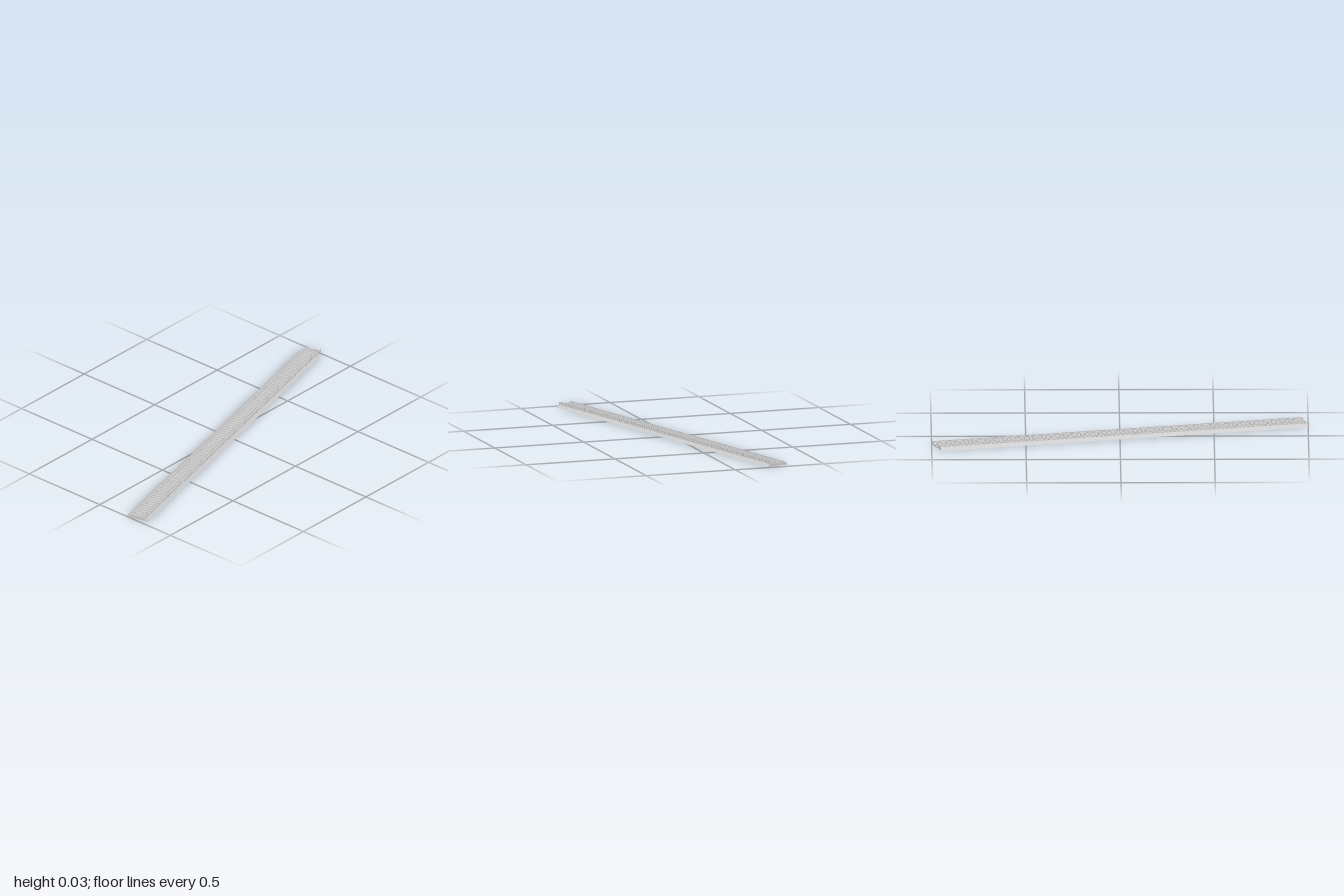
import * as THREE from 'three';

const material = new THREE.MeshStandardMaterial({ color: 0xcccccc, flatShading: true });

// Symmetric cross-section (half-width, height pairs from bottom to top) run along x.
function prism(name, half, x0, x1, z) {
  const right = half.map(([w, y]) => new THREE.Vector2(w, y));
  const left = half.map(([w, y]) => new THREE.Vector2(-w, y)).reverse();
  const geometry = new THREE.ExtrudeGeometry(new THREE.Shape([...right, ...left]), {
    depth: x1 - x0, bevelEnabled: false,
  });
  geometry.rotateY(Math.PI / 2).translate(x0, 0, z);
  const mesh = new THREE.Mesh(geometry, material);
  mesh.name = name;
  return mesh;
}

// I-shaped rail section standing on height y.
function railProfile(y, h, foot, web, head) {
  return [
    [foot, y], [foot, y + h * 0.12], [web, y + h * 0.25],
    [web, y + h * 0.68], [head, y + h * 0.76], [head, y + h],
  ];
}

function box(name, w, h, d, x, y, z) {
  const mesh = new THREE.Mesh(new THREE.BoxGeometry(w, h, d), material);
  mesh.name = name;
  mesh.position.set(x, y, z);
  return mesh;
}

export function createModel() {
  const model = new THREE.Group();
  model.name = 'railwayTrack';
  const track = new THREE.Group();
  track.name = 'straightTrack';
  track.rotation.y = THREE.MathUtils.degToRad(14.4);
  model.add(track);

  // Sloped gravel bed
  track.add(prism('ballast', [[0.0655, 0], [0.0435, 0.015]], -1.015, 0.998, -0.002));

  // Sleepers, with an insulator under the conductor rail on every fourth
  const count = 86, start = -1.008, spacing = 2.021 / (count - 1);
  const sleepers = new THREE.Group();
  sleepers.name = 'sleepers';
  const insulators = new THREE.Group();
  insulators.name = 'insulators';
  for (let i = 0; i < count; i++) {
    const x = start + i * spacing;
    sleepers.add(box('sleeper', 0.0095, 0.007, 0.091, x, 0.016, 0.001));
    if (i % 4 === 1) insulators.add(box('insulator', 0.005, 0.003, 0.004, x, 0.0207, 0.0455));
  }
  track.add(sleepers, insulators);

  // Two running rails
  for (const side of [-1, 1]) {
    track.add(prism(side < 0 ? 'backRail' : 'frontRail',
      railProfile(0.0192, 0.0052, 0.0026, 0.0005, 0.0013), -1.014, 1.019, side * 0.0283));
  }

  // Raised conductor rail along the front
  track.add(prism('conductorRail',
    railProfile(0.0218, 0.006, 0.0026, 0.0008, 0.0018), -1.014, 1.019, 0.0455));

  return model;
}
